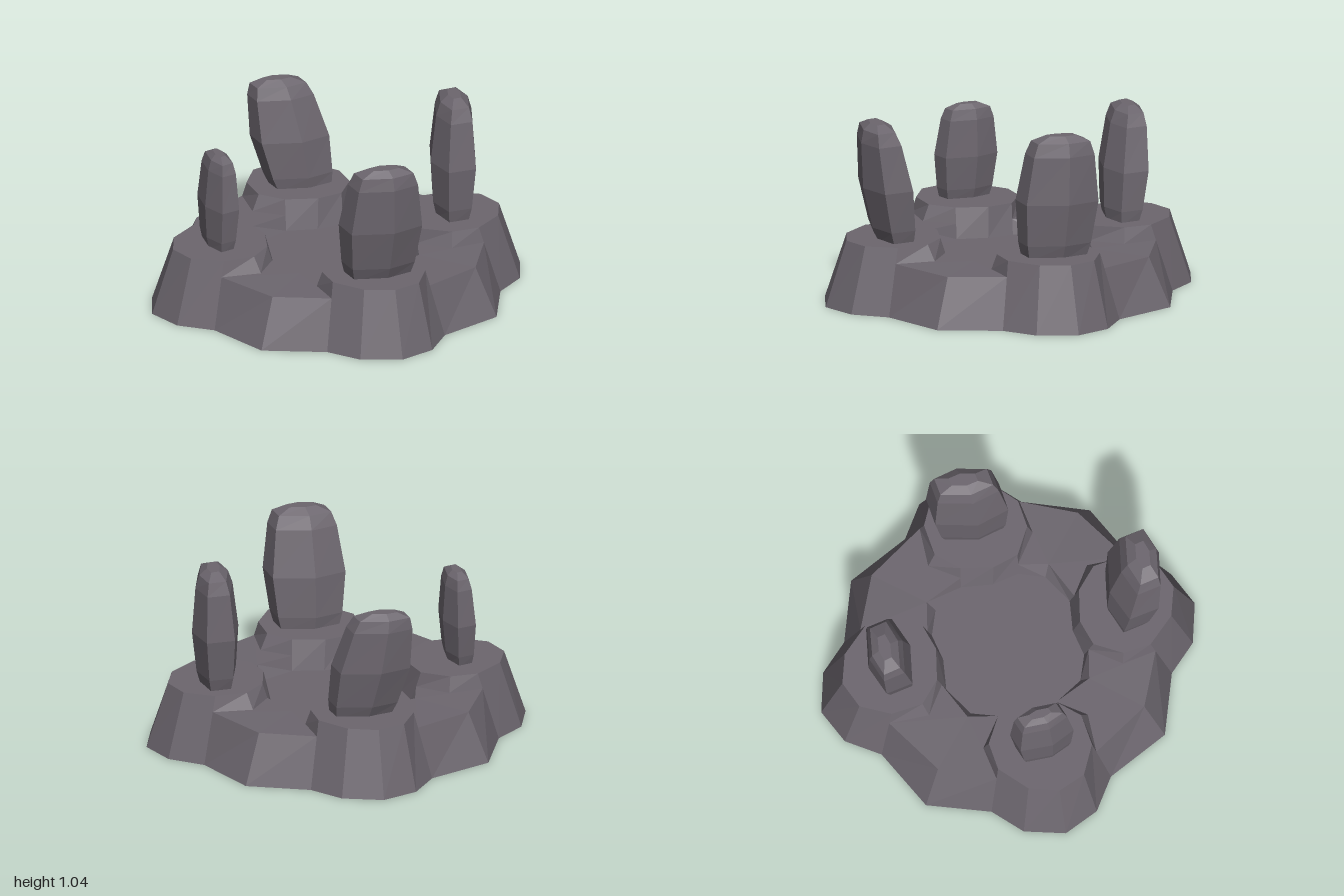
import * as THREE from 'three';

const TOP = 0.365, LEDGE = 0.28, FLOOR = 0.2;

// Quarter turn about y, repeated q times
function turn([x, y, z], q) {
  for (let i = 0; i < q; i++) [x, z] = [z, -x];
  return [x, y, z];
}

// Flat-faced geometry from polygons, each fanned from its first corner
function faces(polys) {
  const pos = [];
  for (const p of polys) {
    for (let i = 1; i < p.length - 1; i++) pos.push(...p[0], ...p[i], ...p[i + 1]);
  }
  const g = new THREE.BufferGeometry();
  g.setAttribute('position', new THREE.Float32BufferAttribute(pos, 3));
  g.computeVertexNormals();
  return g;
}

const between = (a, b, y) => {
  const t = (y - a[1]) / (b[1] - a[1]);
  return [a[0] + (b[0] - a[0]) * t, y, a[2] + (b[2] - a[2]) * t];
};

// Standing stone: a skewed six-sided slab that swells, then tapers to a chipped top
function stoneGeometry({ base, head, height, angle, long, thick }) {
  const section = [[1, 0.45], [0.2, 1], [-0.85, 0.75], [-1, -0.45], [-0.2, -1], [0.85, -0.75]];
  const levels = [[-0.03, 0.78, 0.68], [0.1, 0.88, 0.85], [0.45, 1, 1], [0.84, 0.84, 0.8], [0.95, 0.72, 0.62], [1, 0.36, 0.28]];
  const c = Math.cos(angle), s = Math.sin(angle);
  const rings = levels.map(([t, l, w]) => section.map(([u, v]) => {
    const a = u * long * l, b = v * thick * w;
    return [
      base[0] + (head[0] - base[0]) * t + a * c - b * s,
      TOP + (height - TOP) * t,
      base[1] + (head[1] - base[1]) * t + a * s + b * c,
    ];
  }));
  const polys = [];
  for (let k = 0; k < rings.length - 1; k++) {
    for (let i = 0; i < 6; i++) {
      const j = (i + 1) % 6;
      polys.push([rings[k][j], rings[k][i], rings[k + 1][i], rings[k + 1][j]]);
    }
  }
  polys.push([...rings[rings.length - 1]].reverse());
  return faces(polys);
}

export function createModel() {
  const model = new THREE.Group();
  const stone = new THREE.MeshStandardMaterial({ color: 0x6c666e, flatShading: true, side: THREE.DoubleSide });
  stone.name = 'greyStone';
  const add = (name, geometry) => {
    const mesh = new THREE.Mesh(geometry, stone);
    mesh.name = name;
    model.add(mesh);
  };

  // One mound: rim of its flat top, and the foot below each rim corner
  const rim = [[-0.78, 0.05], [-0.87, 0.23], [-0.86, 0.40], [-0.75, 0.52], [-0.57, 0.54],
    [-0.41, 0.46], [-0.35, 0.31], [-0.38, 0.13], [-0.47, 0.01], [-0.64, -0.02]].map(([x, z]) => [x, TOP, z]);
  const foot = [[-0.90, 0, 0.03], [-0.99, 0, 0.22], [-0.97, 0, 0.45], [-0.82, 0, 0.60], [-0.61, 0, 0.65],
    [-0.37, LEDGE, 0.49], [-0.30, FLOOR, 0.30], [-0.34, FLOOR, 0.13], [-0.42, FLOOR, 0], [-0.64, LEDGE, -0.05]];
  // Where mound corners cross the ledge
  const cross = foot.map((f, i) => (f[1] === LEDGE ? f : between(f, rim[i], LEDGE)));

  const mound = [rim];
  for (let i = 0; i < 10; i++) {
    const j = (i + 1) % 10;
    const onLedge = i === 4 || i === 5 || i === 8 || i === 9;
    const low = onLedge ? cross : foot;
    mound.push([low[i], low[j], rim[j], rim[i]]);
  }

  // Ledge, outer skirt and pit wall spanning from one mound to the next
  const next = (p) => turn(p, 1);
  const skirtCorner = [-0.33, 0, 0.91], ledgeCorner = [-0.28, 0.27, 0.79];
  const pitRim = [-0.16, LEDGE, 0.47], pitFoot = [-0.15, FLOOR, 0.42];
  const ledge = [[pitRim, cross[6], cross[5], cross[4], ledgeCorner, next(cross[0]), next(cross[9]), next(cross[8])]];
  const skirt = [
    [foot[4], skirtCorner, ledgeCorner, cross[4]],
    [skirtCorner, next(foot[0]), next(cross[0]), ledgeCorner],
  ];
  const pitWall = [
    [foot[6], cross[6], pitRim, pitFoot],
    [pitFoot, pitRim, next(cross[8]), next(foot[8])],
  ];

  const sides = ['left', 'front', 'right', 'back'];
  const floor = [];
  sides.forEach((side, q) => {
    const place = (polys) => faces(polys.map((p) => p.map((v) => turn(v, q))));
    add(side + 'Mound', place(mound));
    add(side + 'Ledge', place(ledge));
    add(side + 'Skirt', place(skirt));
    add(side + 'PitWall', place(pitWall));
    floor.push(...[foot[8], foot[7], foot[6], pitFoot].map((v) => turn(v, q)));
  });

  // Sunken floor of the central pit
  add('pitFloor', faces([floor]));

  // Four standing stones, each leaning a little differently
  const stones = [
    { base: [-0.625, 0.28], head: [-0.62, 0.26], height: 0.89, angle: 1.12, long: 0.17, thick: 0.09 },
    { base: [0.28, 0.61], head: [0.325, 0.70], height: 1.02, angle: -0.33, long: 0.22, thick: 0.14 },
    { base: [0.61, -0.29], head: [0.62, -0.33], height: 1.04, angle: 1.32, long: 0.22, thick: 0.13 },
    { base: [-0.25, -0.60], head: [-0.38, -0.63], height: 0.97, angle: -0.33, long: 0.21, thick: 0.125 },
  ];
  stones.forEach((s, i) => add(sides[i] + 'StandingStone', stoneGeometry(s)));

  return model;
}
